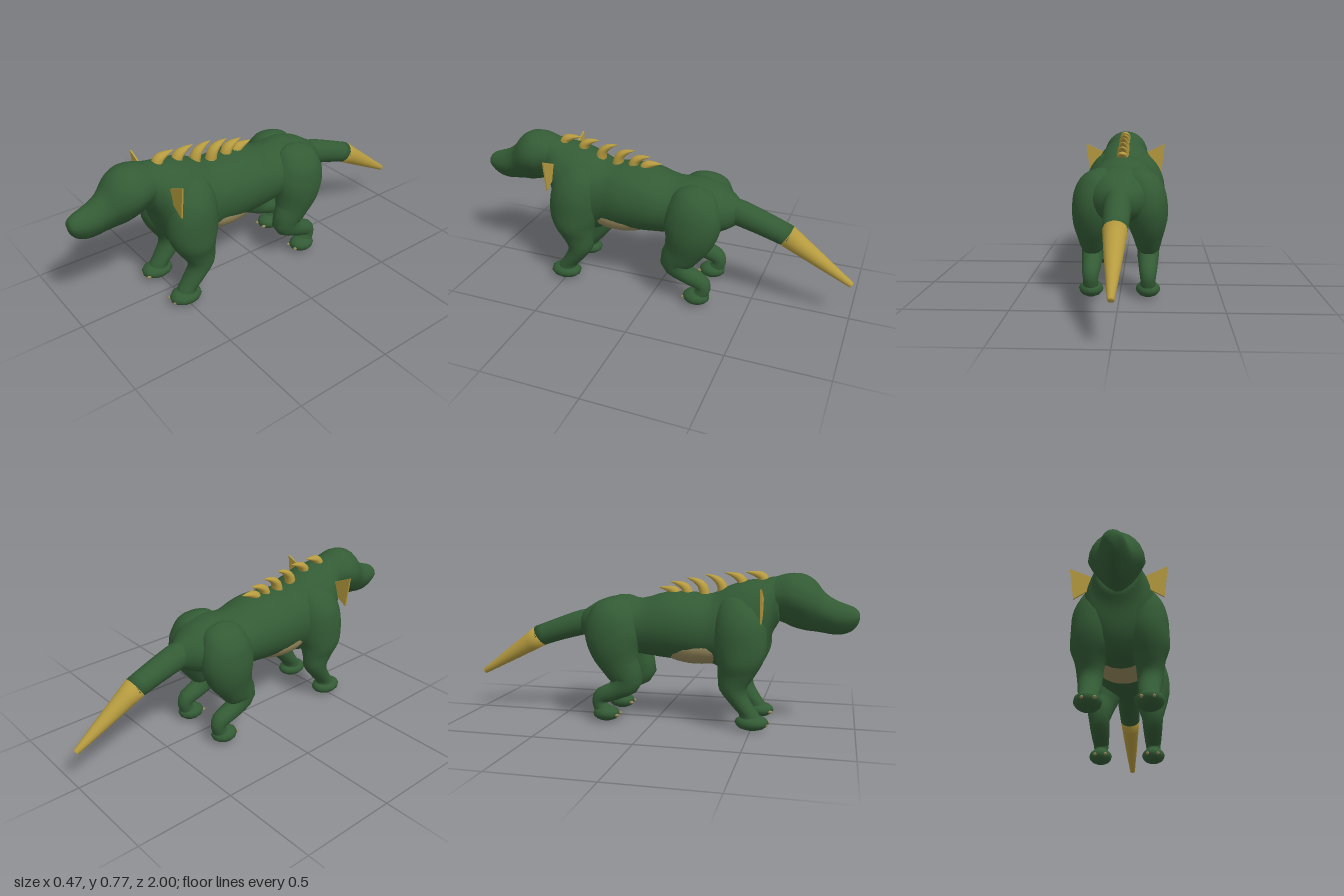
import * as THREE from 'three';

const mat = (name, color) => Object.assign(new THREE.MeshStandardMaterial({ color }), { name });

// Smooth skin over elliptical rings: rows are [x, y, z, radius across, radius along the other way].
// Rings follow the path, or stay square to a fixed axis when one is given; pinch narrows the underside.
function loft(rows, axis = null, sides = 20, pinch = 0) {
  const steps = 3;
  const path = new THREE.CatmullRomCurve3(rows.map(r => new THREE.Vector3(r[0], r[1], r[2])), false, 'catmullrom', 0.5);
  const size = new THREE.CatmullRomCurve3(rows.map(r => new THREE.Vector3(r[3], r[4], 0)), false, 'catmullrom', 0.5);
  const n = (rows.length - 1) * steps;
  const pos = [], idx = [];
  const u = new THREE.Vector3(1, 0, 0);
  for (let i = 0; i <= n; i++) {
    const c = path.getPoint(i / n), s = size.getPoint(i / n);
    const t = axis ? axis.clone() : path.getTangent(i / n).setX(0).normalize();
    const v = t.cross(u);
    for (let j = 0; j < sides; j++) {
      const a = j / sides * Math.PI * 2;
      const narrow = 1 - pinch * Math.max(0, -Math.sin(a));
      const p = c.clone().addScaledVector(u, s.x * Math.cos(a) * narrow).addScaledVector(v, s.y * Math.sin(a));
      pos.push(p.x, p.y, p.z);
    }
  }
  for (let i = 0; i < n; i++) for (let j = 0; j < sides; j++) {
    const k = (j + 1) % sides;
    const a = i * sides + j, b = i * sides + k, c = b + sides, d = a + sides;
    idx.push(a, b, c, a, c, d);
  }
  // end caps
  const first = path.getPoint(0), last = path.getPoint(1), base = (n + 1) * sides;
  pos.push(first.x, first.y, first.z, last.x, last.y, last.z);
  for (let j = 0; j < sides; j++) {
    const k = (j + 1) % sides;
    idx.push(base, k, j, base + 1, n * sides + j, n * sides + k);
  }
  const g = new THREE.BufferGeometry();
  g.setAttribute('position', new THREE.Float32BufferAttribute(pos, 3));
  g.setIndex(idx);
  g.computeVertexNormals();
  return g;
}

function ellipsoid(x, y, z, rx, ry, rz, w = 18, h = 12) {
  return new THREE.SphereGeometry(1, w, h).scale(rx, ry, rz).translate(x, y, z);
}

export function createModel() {
  const root = new THREE.Group();
  root.name = 'hornedBeast';
  const green = mat('green hide', 0x335b35);
  const gold = mat('golden horn', 0xb69b3f);
  const tan = mat('tan belly', 0x96885c);
  const add = (name, geometry, material, parent = root) => {
    const m = new THREE.Mesh(geometry, material);
    m.name = name;
    parent.add(m);
  };
  const forward = new THREE.Vector3(0, 0, 1);
  const down = new THREE.Vector3(0, -1, 0);
  // profile rows: [z, top, bottom, half width], from back to front
  const profile = (rows, pinch) =>
    loft(rows.map(([z, t, b, w]) => [0, (t + b) / 2, z, w, (t - b) / 2]), forward, 24, pinch);

  // Trunk, neck and head
  add('body', profile([
    [-0.43, 0.54, 0.44, 0.04], [-0.4, 0.56, 0.425, 0.066], [-0.36, 0.585, 0.4, 0.11],
    [-0.3, 0.618, 0.38, 0.15], [-0.2, 0.642, 0.36, 0.168], [-0.08, 0.63, 0.34, 0.168],
    [0.05, 0.665, 0.325, 0.184], [0.18, 0.668, 0.315, 0.184], [0.28, 0.662, 0.308, 0.168],
    [0.36, 0.7, 0.272, 0.172], [0.45, 0.73, 0.268, 0.178], [0.52, 0.738, 0.31, 0.166],
    [0.56, 0.745, 0.38, 0.142], [0.585, 0.75, 0.47, 0.118], [0.62, 0.754, 0.535, 0.1],
  ], 0), green);
  add('head', profile([
    [0.54, 0.73, 0.54, 0.095], [0.62, 0.759, 0.53, 0.11], [0.68, 0.77, 0.505, 0.127],
    [0.74, 0.763, 0.49, 0.122], [0.79, 0.73, 0.485, 0.1], [0.83, 0.68, 0.48, 0.08],
    [0.88, 0.645, 0.473, 0.068], [0.93, 0.625, 0.477, 0.058], [0.97, 0.61, 0.497, 0.047],
    [0.992, 0.592, 0.525, 0.034], [1, 0.575, 0.55, 0.012],
  ], 0.38), green);
  add('bellyPatch', ellipsoid(0, 0.4, 0.215, 0.155, 0.1, 0.22, 24, 16), tan);

  // Tail and its horny tip
  add('tail', loft([
    [0, 0.505, -0.34, 0.06, 0.06], [0, 0.492, -0.41, 0.064, 0.066],
    [0, 0.452, -0.54, 0.062, 0.06], [0, 0.408, -0.665, 0.055, 0.056],
  ]), green);
  add('tailTip', loft([
    [0, 0.411, -0.655, 0.056, 0.058], [0, 0.307, -0.82, 0.037, 0.037], [0, 0.2, -0.991, 0.015, 0.015],
  ]), gold);

  // Curved back spikes: [tip z, tip y, height]
  const spikes = [[0.445, 0.77, 0.05], [0.34, 0.765, 0.07], [0.24, 0.755, 0.1],
    [0.145, 0.737, 0.09], [0.06, 0.716, 0.07], [0, 0.686, 0.04]];
  spikes.forEach(([z, y, h], i) => add('backSpike' + (i + 1), loft([
    [0, y - h - 0.02, z + 0.1, 0.03, 0.03], [0, y - h * 0.5, z + 0.085, 0.03, 0.025],
    [0, y - h * 0.16, z + 0.048, 0.02, 0.014], [0, y, z, 0.001, 0.001],
  ], null, 12), gold));

  // Paired parts
  for (const s of [1, -1]) {
    const side = s > 0 ? 'left' : 'right';
    const limb = (rows, axis) => loft(rows.map(([x, ...r]) => [x * s, ...r]), axis, 18);

    const front = new THREE.Group();
    front.name = side + 'FrontLeg';
    root.add(front);
    add('leg', limb([
      [0.08, 0.665, 0.42, 0.02, 0.03], [0.085, 0.64, 0.42, 0.06, 0.08],
      [0.102, 0.58, 0.43, 0.092, 0.115], [0.118, 0.5, 0.437, 0.106, 0.13],
      [0.126, 0.4, 0.442, 0.104, 0.13], [0.13, 0.33, 0.44, 0.1, 0.11],
      [0.138, 0.27, 0.425, 0.071, 0.09], [0.138, 0.2, 0.41, 0.06, 0.066],
      [0.134, 0.12, 0.46, 0.053, 0.053], [0.134, 0.08, 0.492, 0.048, 0.05],
      [0.136, 0.04, 0.5, 0.05, 0.055],
    ], down), green, front);
    add('foot', ellipsoid(0.136 * s, 0.042, 0.505, 0.065, 0.04, 0.084, 12, 8), green, front);

    const hind = new THREE.Group();
    hind.name = side + 'HindLeg';
    root.add(hind);
    add('leg', limb([
      [0.09, 0.635, -0.205, 0.02, 0.03], [0.1, 0.605, -0.205, 0.075, 0.095],
      [0.118, 0.54, -0.208, 0.1, 0.13], [0.129, 0.46, -0.208, 0.105, 0.145],
      [0.133, 0.38, -0.195, 0.1, 0.13], [0.138, 0.3, -0.165, 0.075, 0.1],
      [0.14, 0.225, -0.125, 0.057, 0.078], [0.14, 0.17, -0.18, 0.05, 0.05],
      [0.14, 0.135, -0.262, 0.043, 0.044], [0.14, 0.095, -0.278, 0.037, 0.037],
      [0.14, 0.05, -0.255, 0.04, 0.04],
    ], null), green, hind);
    add('foot', ellipsoid(0.14 * s, 0.045, -0.242, 0.06, 0.04, 0.07, 12, 8), green, hind);

    // Small claws
    for (const x of [0.1, 0.155]) {
      add('claw', ellipsoid(x * s, 0.036, 0.574, 0.009, 0.008, 0.014, 8, 6), tan, front);
      add('claw', ellipsoid((x + 0.01) * s, 0.04, -0.18, 0.009, 0.008, 0.014, 8, 6), tan, hind);
    }

    // Flat ear fin
    const shape = new THREE.Shape([[0.09, 0.637], [0.23, 0.705], [0.21, 0.54], [0.09, 0.615]]
      .map(([x, y]) => new THREE.Vector2(x * s, y)));
    const fin = new THREE.ExtrudeGeometry(shape, { depth: 0.008, bevelEnabled: false });
    add(side + 'EarFin', fin.translate(0, 0, 0.542), gold);
  }
  return root;
}
